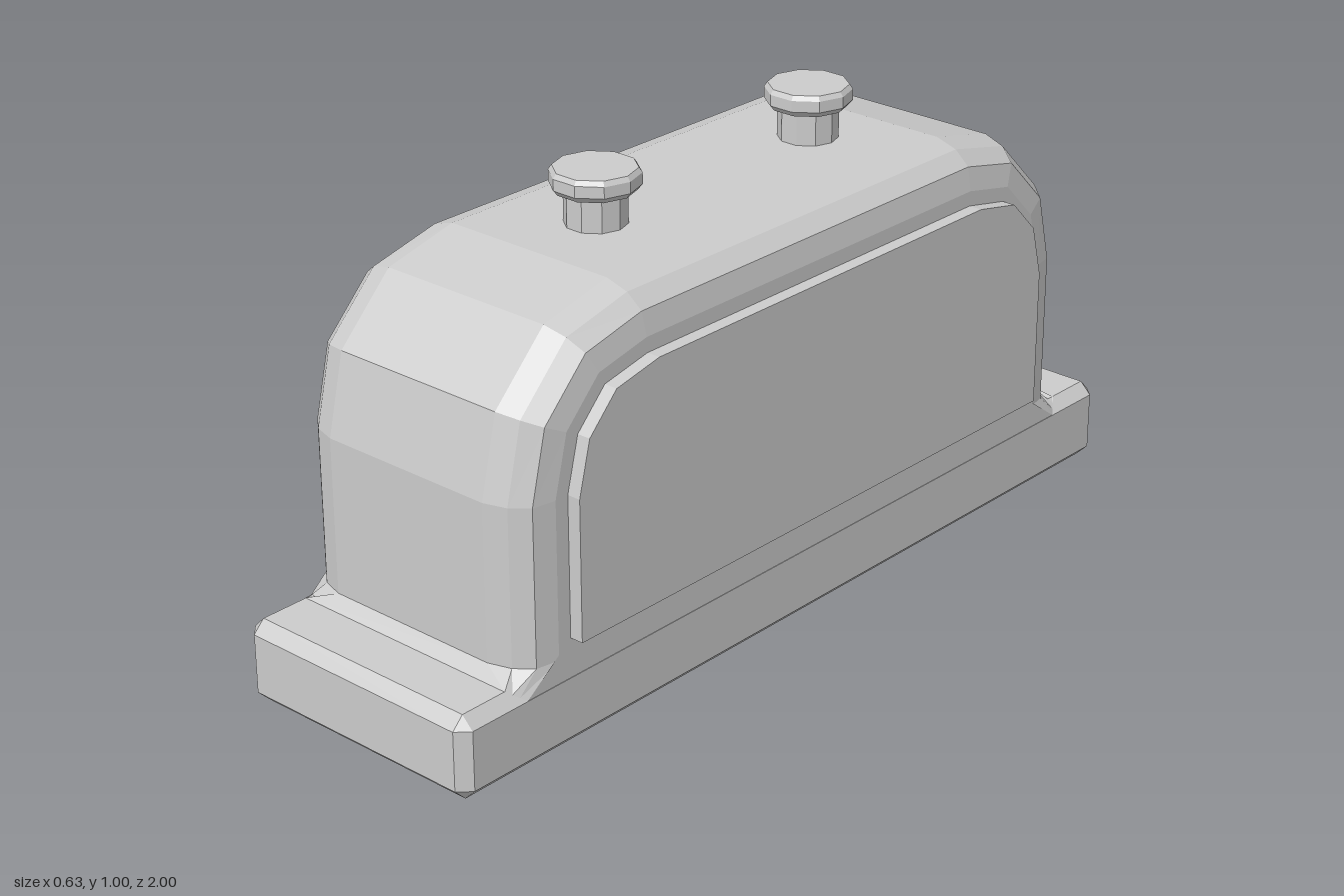
import * as THREE from 'three';
import { ConvexGeometry } from 'three/addons/geometries/ConvexGeometry.js';

// Half side profile as [z, y]: outermost outline, and where it lands on the flat side
const OUTER = [[0.84, 0.205], [0.84, 0.54], [0.80, 0.71], [0.67, 0.84], [0.50, 0.88]];
const INNER = [[0.745, 0.205], [0.745, 0.54], [0.713, 0.668], [0.625, 0.757], [0.495, 0.785]];
const lerp = THREE.MathUtils.lerp;

// One closed outline at x; t = inset amount, s = position along the skirt corner
function outline(x, t, skirt, panelBottom) {
  const half = OUTER.map(([z, y], i) => [x, lerp(y, INNER[i][1], t), lerp(z, INNER[i][0], t)]);
  if (panelBottom) half[0][1] = panelBottom;
  half.unshift(skirt || half[0]);
  const mirrored = half.map(([a, b, c]) => [a, b, -c]).reverse();
  return [...half, ...mirrored];
}

// Skin a row of closed outlines and close both ends
function loft(rings) {
  const pos = [];
  const v = (p) => new THREE.Vector3(...p);
  const tri = (a, b, c) => {
    const area = v(b).sub(v(a)).cross(v(c).sub(v(a))).length();
    if (area > 1e-7) pos.push(...a, ...b, ...c);
  };
  const n = rings[0].length;
  for (let k = 0; k < rings.length - 1; k++) {
    for (let j = 0; j < n; j++) {
      const i = (j + 1) % n;
      const [a, b, c, d] = [rings[k][j], rings[k + 1][j], rings[k + 1][i], rings[k][i]];
      tri(a, b, c);
      tri(a, c, d);
    }
  }
  const first = rings[0], last = rings[rings.length - 1];
  for (let j = 0; j < n; j++) {
    const i = (j + 1) % n;
    tri([first[0][0], 0.45, 0], first[j], first[i]);
    tri([last[0][0], 0.45, 0], last[i], last[j]);
  }
  const geo = new THREE.BufferGeometry();
  geo.setAttribute('position', new THREE.Float32BufferAttribute(pos, 3));
  geo.computeVertexNormals();
  return geo;
}

// Arched body: rounded rims, flared skirt, recess on one side, raised panel on the other
function bodyGeometry() {
  const bevel = [[0.205, 0], [0.255, 0.16], [0.29, 0.47], [0.30, 1]];
  const side = (sign) => bevel.map(([x, t], i) => {
    const s = i / 3;
    const skirt = [sign * lerp(0.275, 0.30, s), lerp(0.18, 0.155, s), lerp(0.865, 0.83, s)];
    return outline(sign * x, t, skirt);
  });
  const panel = (x) => outline(x, 1.34, null, 0.24);
  return loft([
    panel(-0.24), panel(-0.30),
    ...side(-1).reverse(), ...side(1),
    panel(0.30), panel(0.33),
  ]);
}

// Box with every edge chamfered, standing on y = 0
function chamferBox(w, h, d, c) {
  const pts = [];
  for (const sx of [-1, 1]) for (const sy of [-1, 1]) for (const sz of [-1, 1]) {
    for (let axis = 0; axis < 3; axis++) {
      const inset = [c, c, c];
      inset[axis] = 0;
      pts.push(new THREE.Vector3(
        sx * (w / 2 - inset[0]), h / 2 + sy * (h / 2 - inset[1]), sz * (d / 2 - inset[2])));
    }
  }
  return new ConvexGeometry(pts);
}

export function createModel() {
  const group = new THREE.Group();
  group.name = 'archedBlock';
  const material = new THREE.MeshStandardMaterial({ color: 0xcccccc, flatShading: true });
  const add = (name, geometry, z = 0) => {
    const mesh = new THREE.Mesh(geometry, material);
    mesh.name = name;
    mesh.position.set(-0.015, 0, z);
    group.add(mesh);
  };

  add('base', chamferBox(0.60, 0.18, 2, 0.026));
  add('body', bodyGeometry());

  // Two ten-sided studs on the top
  const lathe = (pts) =>
    new THREE.LatheGeometry(pts.map((p) => new THREE.Vector2(...p)), 10, Math.PI / 2);
  const stem = lathe([[0.064, 0.87], [0.064, 0.955]]);
  const head = lathe([[0, 0.95], [0.082, 0.95], [0.092, 0.962], [0.092, 0.986], [0.085, 0.996], [0, 0.996]]);
  [['front', 0.312], ['back', -0.328]].forEach(([end, z]) => {
    add(end + 'StudStem', stem, z);
    add(end + 'StudHead', head, z);
  });
  return group;
}
